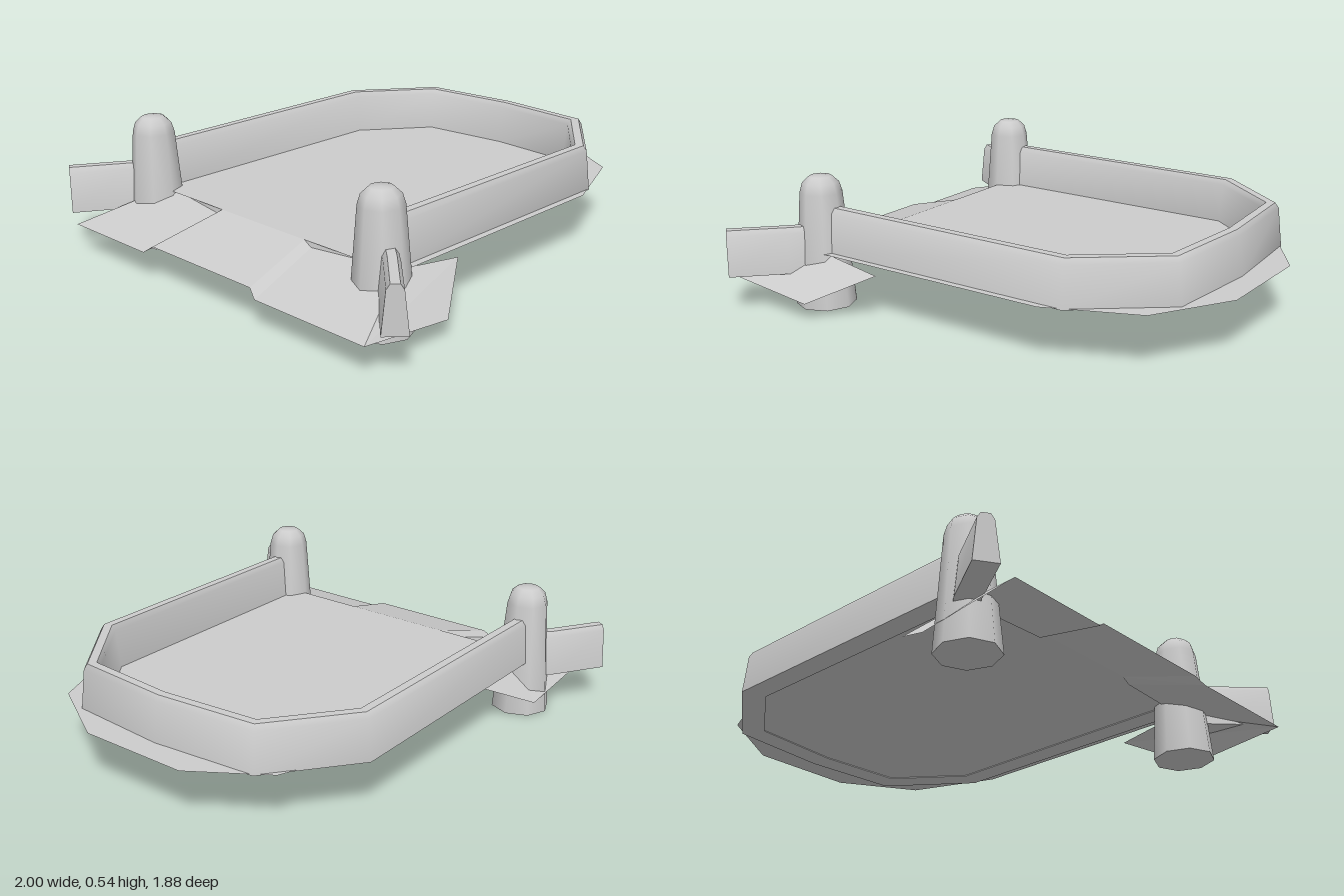
import * as THREE from 'three';
import { toCreasedNormals } from 'three/addons/utils/BufferGeometryUtils.js';

const material = new THREE.MeshStandardMaterial({ color: 0xcccccc });
const sheetMaterial = new THREE.MeshStandardMaterial({ color: 0xcccccc, side: THREE.DoubleSide });

// Wall cross-section: [offset from centre line, height], tapering to a bevelled top
const wallProfile = [[-0.048, 0], [-0.031, 0.165], [-0.017, 0.187], [0.017, 0.187], [0.031, 0.165], [0.048, 0]];

function addMesh(parent, name, geometry, mat = material) {
  const mesh = new THREE.Mesh(geometry, mat);
  mesh.name = name;
  parent.add(mesh);
  return mesh;
}

// Sweeps the wall profile along a mitred [x, z] path
function wallGeometry(path, baseY) {
  const points = path.map(([x, z]) => new THREE.Vector2(x, z));
  const positions = [], index = [], n = wallProfile.length;
  points.forEach((p, i) => {
    const before = p.clone().sub(points[Math.max(i - 1, 0)]).normalize();
    const after = points[Math.min(i + 1, points.length - 1)].clone().sub(p).normalize();
    const dir = before.clone().add(after).normalize();
    const inner = i > 0 && i < points.length - 1;
    const stretch = inner ? 1 / dir.dot(after) : 1;
    for (const [offset, y] of wallProfile) {
      positions.push(p.x - dir.y * offset * stretch, baseY + y, p.y + dir.x * offset * stretch);
    }
  });
  for (let i = 0; i < points.length - 1; i++) {
    for (let j = 0; j < n; j++) {
      const a = i * n + j, b = i * n + (j + 1) % n, c = a + n, d = b + n;
      index.push(a, b, c, b, d, c);
    }
  }
  // End caps
  const last = (points.length - 1) * n;
  for (let j = 1; j < n - 1; j++) {
    index.push(0, j + 1, j, last, last + j, last + j + 1);
  }
  const geometry = new THREE.BufferGeometry();
  geometry.setAttribute('position', new THREE.Float32BufferAttribute(positions, 3));
  geometry.setIndex(index);
  return toCreasedNormals(geometry, 0.95);
}

// Thin convex sheet from its corners, facing up
function sheetGeometry(corners) {
  const area = corners.reduce((sum, p, i) => {
    const q = corners[(i + 1) % corners.length];
    return sum + p[0] * q[2] - q[0] * p[2];
  }, 0);
  const ordered = area > 0 ? [...corners].reverse() : corners;
  const positions = [];
  for (let i = 1; i < ordered.length - 1; i++) {
    positions.push(...ordered[0], ...ordered[i], ...ordered[i + 1]);
  }
  const geometry = new THREE.BufferGeometry();
  geometry.setAttribute('position', new THREE.Float32BufferAttribute(positions, 3));
  geometry.computeVertexNormals();
  return geometry;
}

export function createModel() {
  const model = new THREE.Group();
  model.name = 'walledCourtyard';

  // Courtyard floor, just above the foot of the wall
  const floorY = 0.237;
  const outline = [[-0.68, -0.69], [0.44, -0.7], [0.81, -0.55], [1, -0.26],
    [1, 0.21], [0.81, 0.53], [0.44, 0.68], [-0.62, 0.68], [-0.68, 0.62]];
  addMesh(model, 'floor', sheetGeometry(outline.map(([x, z]) => [x, floorY, z])), sheetMaterial);

  // Entrance ramp between the two side slopes
  addMesh(model, 'ramp', sheetGeometry([[-0.68, floorY, -0.265], [-0.68, floorY, 0.21],
    [-0.985, 0.152, 0.25], [-0.985, 0.152, -0.32]]), sheetMaterial);

  // Sloping ground beside the ramp, front and back
  for (const side of [1, -1]) {
    const slopes = new THREE.Group();
    slopes.name = side > 0 ? 'frontSlopes' : 'backSlopes';
    model.add(slopes);
    const z = (front, back) => (side > 0 ? front : back);
    const low = [-1, 0.122, z(0.83, -0.81)];
    const corner = [-0.64, 0.232, z(0.65, -0.66)];
    const foot = [-1, 0.122, z(0.29, -0.36)];
    const head = [-0.68, 0.215, z(0.245, -0.3)];
    const rampTop = [-0.68, floorY, z(0.21, -0.265)];
    const rampFoot = [-0.985, 0.152, z(0.25, -0.32)];
    addMesh(slopes, 'upperSlope', sheetGeometry([low, corner, head, foot]), sheetMaterial);
    addMesh(slopes, 'outerSlope', sheetGeometry([low, [-0.58, 0.075, low[2]],
      [-0.34, 0.195, z(0.67, -0.68)], corner]), sheetMaterial);
    addMesh(slopes, 'rampBank', sheetGeometry([foot, head, rampTop, rampFoot]), sheetMaterial);
    addMesh(slopes, 'floorStep', sheetGeometry([rampTop, head, corner]), sheetMaterial);
  }

  // Main wall around the courtyard
  addMesh(model, 'mainWall', wallGeometry([[-0.68, -0.698], [0.505, -0.698], [0.815, -0.458],
    [0.852, -0.04], [0.822, 0.36], [0.51, 0.602], [-0.68, 0.602]], 0.233));

  // Short wing walls outside the towers
  addMesh(model, 'backWingWall', wallGeometry([[-0.68, -0.705], [-0.76, -0.775], [-0.96, -0.902]], 0.155));
  addMesh(model, 'frontWingWall', wallGeometry([[-0.68, 0.64], [-0.76, 0.73], [-0.927, 0.9]], 0.155));

  // Eight-sided gate towers with domed tops
  const towerProfile = [[0, 0], [0.124, 0], [0.086, 0.475], [0.074, 0.515], [0.047, 0.54], [0, 0.541]]
    .map(([r, y]) => new THREE.Vector2(r, y));
  for (const [name, z] of [['backTower', -0.69], ['frontTower', 0.605]]) {
    const geometry = new THREE.LatheGeometry(towerProfile, 8);
    geometry.deleteAttribute('normal');
    geometry.deleteAttribute('uv');
    addMesh(model, name, toCreasedNormals(geometry, 0.9)).position.set(-0.68, 0, z);
  }
  return model;
}
